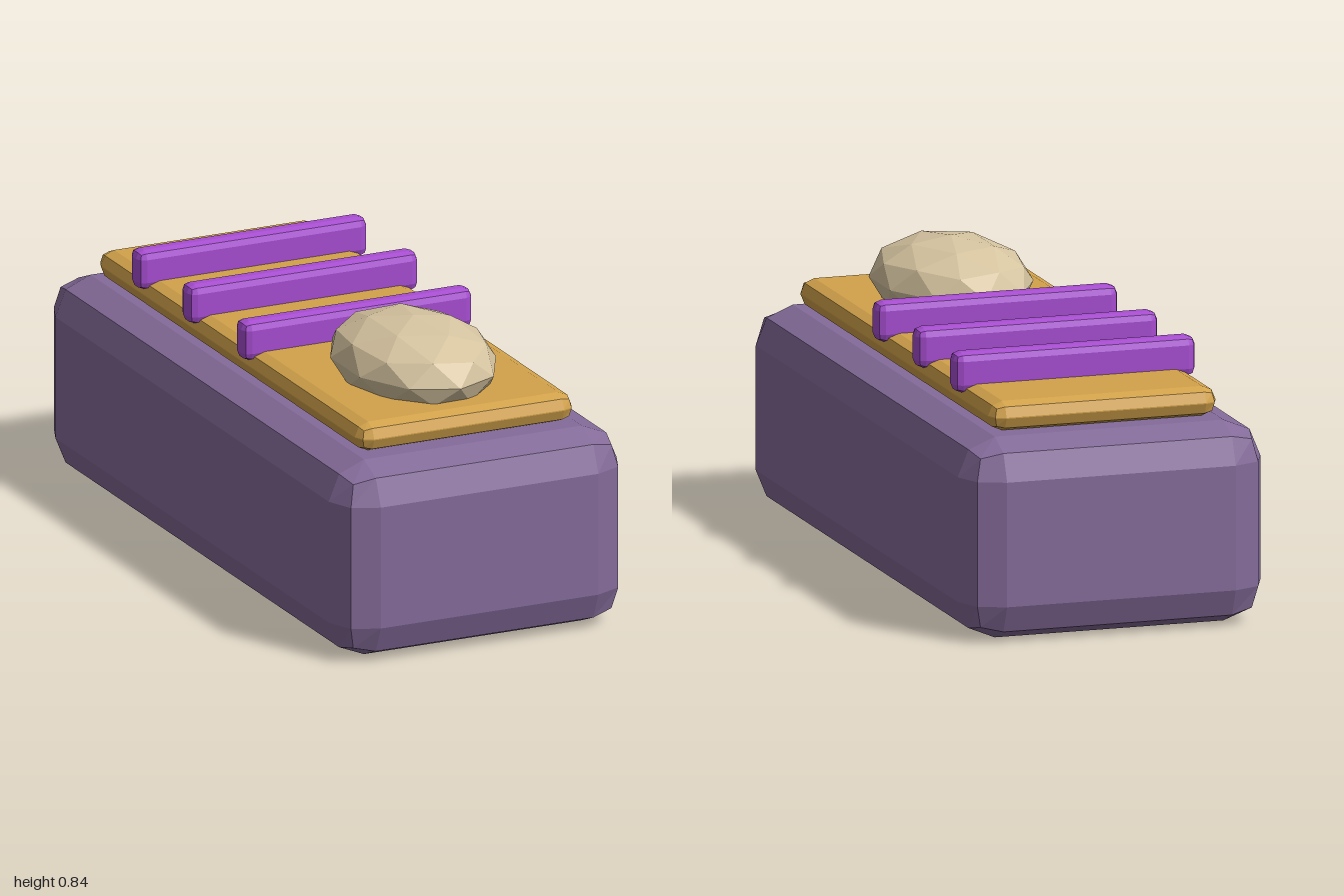
import * as THREE from 'three';
import { RoundedBoxGeometry } from 'three/addons/geometries/RoundedBoxGeometry.js';

function material(name, color) {
  const m = new THREE.MeshStandardMaterial({ color, flatShading: true });
  m.name = name;
  return m;
}

export function createModel() {
  const model = new THREE.Group();
  model.name = 'model';

  const mauve = material('mauve', 0x846b99);
  const ochre = material('ochre', 0xd2a24b);
  const violet = material('violet', 0xa64dd0);
  const sand = material('sand', 0xd6c4a0);

  function add(name, geometry, mat, x, y, z) {
    const mesh = new THREE.Mesh(geometry, mat);
    mesh.name = name;
    mesh.position.set(x, y, z);
    model.add(mesh);
    return mesh;
  }

  // Block with two-facet bevels, placed by its bottom height
  function block(name, mat, w, h, d, bevel, bottom, z = 0) {
    return add(name, new RoundedBoxGeometry(w, h, d, 1, bevel), mat, 0, bottom + h / 2, z);
  }

  // Body and the panel on top of it
  block('base', mauve, 0.9, 0.58, 2, 0.11, 0);
  block('topPanel', ochre, 0.676, 0.085, 1.735, 0.041, 0.582);

  // Three cross bars
  [0.117, -0.236, -0.567].forEach((z, i) => {
    block('crossBar' + (i + 1), violet, 0.718, 0.116, 0.073, 0.024, 0.641, z);
  });

  // Faceted dome: icosphere standing on a vertex, stretched lengthwise
  const dome = new THREE.IcosahedronGeometry(1, 1);
  dome.rotateX(-Math.atan((1 + Math.sqrt(5)) / 2));
  dome.rotateY(Math.PI / 2);
  dome.scale(0.224, 0.125, 0.311);
  dome.computeVertexNormals();
  add('dome', dome, sand, 0, 0.715, 0.502);

  return model;
}
